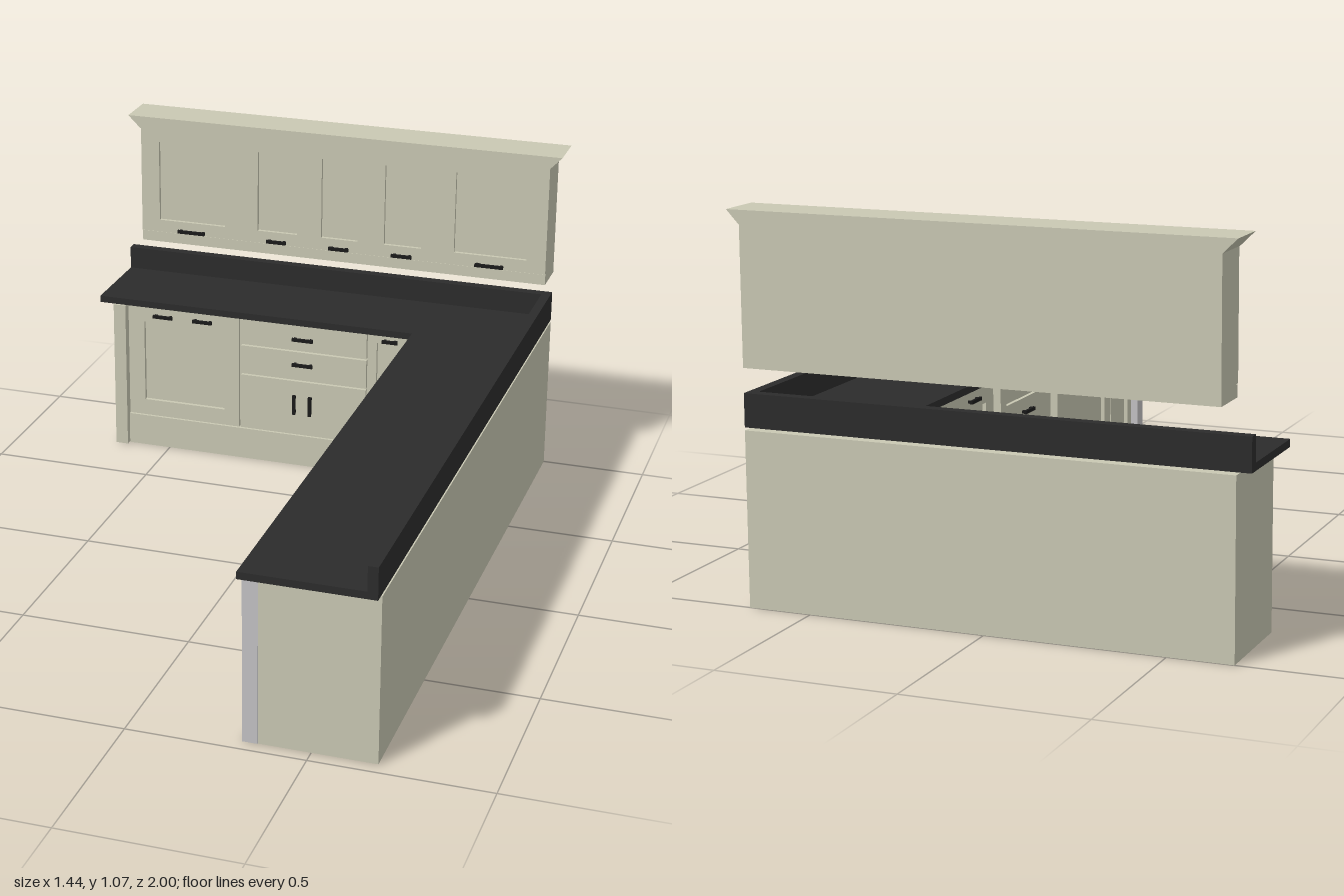
import * as THREE from 'three';

const mat = (name, color) => {
  const m = new THREE.MeshStandardMaterial({ color });
  m.name = name;
  return m;
};

export function createModel() {
  const cream = mat('cream paint', 0xc9c8b3);
  const stone = mat('dark worktop', 0x2c2c2c);
  const black = mat('black metal', 0x1a1a1a);
  const grey = mat('pale grey trim', 0xc3c2c4);
  const model = new THREE.Group();
  model.name = 'kitchen';

  const group = (name, parent = model) => {
    const g = new THREE.Group();
    g.name = name;
    parent.add(g);
    return g;
  };
  const add = (parent, name, geo, m) => {
    const mesh = new THREE.Mesh(geo, m);
    mesh.name = name;
    parent.add(mesh);
    return mesh;
  };
  // Box given by its limits on each axis
  const box = (parent, name, x0, x1, y0, y1, z0, z1, m = cream) => {
    const b = add(parent, name, new THREE.BoxGeometry(x1 - x0, y1 - y0, z1 - z0), m);
    b.position.set((x0 + x1) / 2, (y0 + y1) / 2, (z0 + z1) / 2);
    return b;
  };
  const rect = (P, x0, x1, y0, y1) => {
    const p = new P();
    p.moveTo(x0, y0);
    p.lineTo(x1, y0);
    p.lineTo(x1, y1);
    p.lineTo(x0, y1);
    p.closePath();
    return p;
  };
  // Flat board with rectangular recesses, facing +z
  const framed = (parent, name, x0, x1, y0, y1, depth, holes) => {
    const s = rect(THREE.Shape, x0, x1, y0, y1);
    holes.forEach(h => s.holes.push(rect(THREE.Path, ...h)));
    return add(parent, name, new THREE.ExtrudeGeometry(s, { depth, bevelEnabled: false }), cream);
  };
  // Bar handle on two short stems
  const handle = (parent, x, y, length, z, upright = false) => {
    const g = group('handle', parent);
    g.position.set(x, y, z);
    if (upright) g.rotation.z = Math.PI / 2;
    const h = length / 2;
    box(g, 'handleBar', -h, h, -0.005, 0.005, 0.008, 0.016, black);
    for (const s of [-1, 1]) {
      const c = s * (h - 0.008);
      box(g, 'handleStem', c - 0.004, c + 0.004, -0.004, 0.004, 0, 0.009, black);
    }
  };

  const T = 0.012; // thickness of doors and drawer fronts
  const door = (g, x0, x1, inset, handles) => {
    const low = inset > 0.04 ? 0.16 : 0.135;
    const high = inset > 0.04 ? 0.43 : 0.455;
    framed(g, 'door', x0, x1, 0.107, 0.482, T, [[x0 + inset, x1 - inset, low, high]]);
    handles.forEach(([x, len]) => handle(g, x, inset > 0.04 ? 0.456 : 0.466, len, T));
  };
  const drawers = (g, x0, x1) => {
    const c = (x0 + x1) / 2;
    [[0.107, 0.29], [0.295, 0.39], [0.396, 0.482]].forEach(([a, b]) => box(g, 'drawerFront', x0, x1, a, b, 0, T));
    handle(g, c, 0.35, 0.068, T);
    handle(g, c, 0.436, 0.068, T);
    for (const s of [-1, 1]) handle(g, c + s * 0.026, 0.213, 0.065, T, true);
  };

  // Base cabinets in an L
  const base = group('baseCabinets');
  box(base, 'backRunBody', -0.68, 0.345, 0, 0.483, -1, -0.735);
  box(base, 'sideRunBody', 0.345, 0.68, 0, 0.483, -1, 0.96);

  // Fronts of the back run
  const back = group('backRunFronts', base);
  back.position.z = -0.735;
  box(back, 'plinth', -0.638, 0.333, 0, 0.103, 0, T);
  box(back, 'endPost', -0.68, -0.64, 0, 0.483, 0, 0.028);
  door(back, -0.632, -0.262, 0.05, [[-0.515, 0.065], [-0.382, 0.065]]);
  drawers(back, -0.255, 0.158);
  door(back, 0.164, 0.306, 0.027, [[0.235, 0.05]]);

  // Fronts of the side run: local x runs along world z
  const side = group('sideRunFronts', base);
  side.position.x = 0.345;
  side.rotation.y = -Math.PI / 2;
  box(side, 'plinth', -0.72, 0.92, 0, 0.103, 0, T);
  [-0.70, -0.16, 0.26].forEach(c => box(side, 'post', c - 0.02, c + 0.02, 0, 0.483, 0, 0.033));
  door(side, -0.675, -0.185, 0.05, [[-0.53, 0.065], [-0.33, 0.065]]);
  drawers(side, -0.135, 0.235);
  door(side, 0.285, 0.725, 0.05, [[0.4, 0.065], [0.6, 0.065]]);
  door(side, 0.73, 0.91, 0.03, [[0.82, 0.05]]);
  box(base, 'cornerPost', 0.312, 0.355, 0, 0.483, 0.917, 0.962, grey);

  // L-shaped worktop with upstands along the two walls
  const top = group('worktop');
  const plan = new THREE.Shape([
    [-0.72, 1], [0.68, 1], [0.68, -1], [0.31, -1], [0.31, 0.695], [-0.72, 0.695],
  ].reverse().map(([x, y]) => new THREE.Vector2(x, y)));
  const slab = add(top, 'worktopSlab', new THREE.ExtrudeGeometry(plan, { depth: 0.021, bevelEnabled: false }), stone);
  slab.rotation.x = -Math.PI / 2;
  slab.position.y = 0.491;
  box(top, 'backUpstand', -0.72, 0.68, 0.512, 0.583, -1, -0.97, stone);
  box(top, 'sideUpstand', 0.652, 0.68, 0.512, 0.583, -0.97, 1, stone);

  // Wall cabinet with recessed door panels
  const wall = group('wallCabinet');
  box(wall, 'wallCabinetBody', -0.64, 0.68, 0.65, 1.03, -1, -0.885);
  box(wall, 'lightRail', -0.64, 0.68, 0.65, 0.683, -0.885, -0.878);
  const panels = [[-0.58, -0.36], [-0.25, -0.12], [-0.04, 0.08], [0.165, 0.285], [0.39, 0.62]];
  framed(wall, 'wallDoors', -0.64, 0.68, 0.685, 1.03, 0.011,
    panels.map(([a, b]) => [a, b, 0.725, 0.985])).position.z = -0.885;
  panels.forEach(([a, b]) => handle(wall, (a + b) / 2, 0.696, b - a > 0.2 ? 0.09 : 0.065, -0.874));

  // Crown moulding, flared at both ends
  const flare = new THREE.Shape([[-0.64, 1.027], [0.68, 1.027], [0.717, 1.066], [-0.68, 1.066]]
    .map(([x, y]) => new THREE.Vector2(x, y)));
  add(wall, 'crownMoulding', new THREE.ExtrudeGeometry(flare, { depth: 0.132, bevelEnabled: false }), cream)
    .position.z = -1;

  return model;
}
